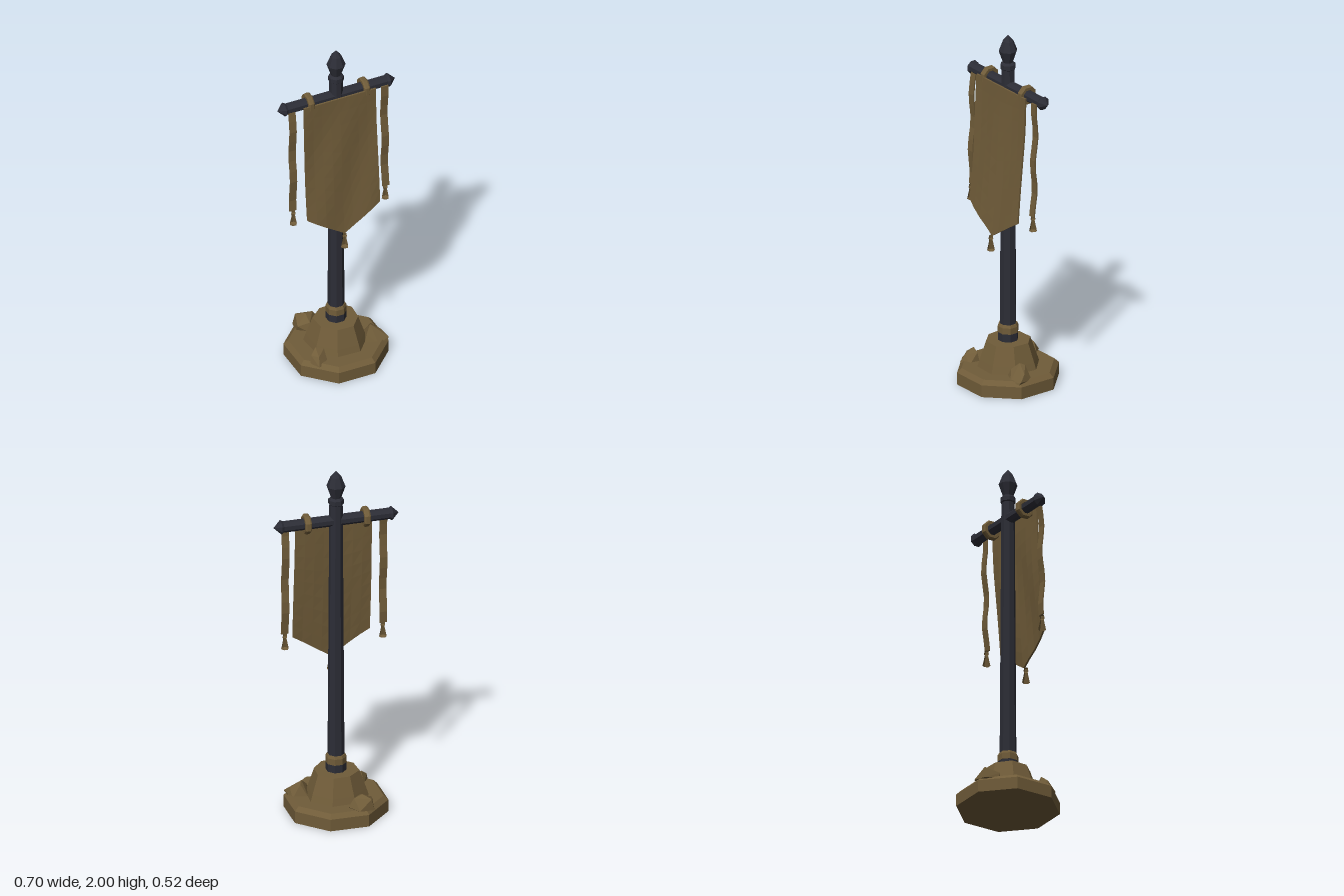
import * as THREE from 'three';
import { ConvexGeometry } from 'three/addons/geometries/ConvexGeometry.js';

const brown = new THREE.MeshStandardMaterial({ color: 0x705c39, flatShading: true });
brown.name = 'brown cloth and stone';
const iron = new THREE.MeshStandardMaterial({ color: 0x2c2d36, flatShading: true });
iron.name = 'dark iron';

export function createModel() {
  const model = new THREE.Group();

  const add = (name, geometry, material, x = 0, y = 0, z = 0) => {
    const mesh = new THREE.Mesh(geometry, material);
    mesh.name = name;
    mesh.position.set(x, y, z);
    model.add(mesh);
    return mesh;
  };

  // Faceted solid of revolution from [radius, y] pairs, with a flat side to the front
  const turned = (profile, sides = 8) =>
    new THREE.LatheGeometry(profile.map(([r, y]) => new THREE.Vector2(r, y)), sides, Math.PI / sides);

  // Stone foot
  add('basePlinth', turned([[0, 0], [0.281, 0], [0.281, 0.068], [0.256, 0.092], [0, 0.092]]), brown);
  const mound = turned([[0.172, 0.085], [0.158, 0.13], [0.122, 0.235], [0, 0.235]]);
  const mp = mound.attributes.position;
  for (let i = 0; i < mp.count; i++) {
    // slight unevenness that keeps the seam closed
    const k = 1 + 0.035 * Math.sin(3 * Math.atan2(mp.getX(i), mp.getZ(i)) + 1);
    mp.setX(i, mp.getX(i) * k);
    mp.setZ(i, mp.getZ(i) * k);
  }
  add('baseMound', mound, brown);

  // Rocks lying on the foot
  const rocks = {
    backRock: [
      [-0.158, 0.08, -0.165], [-0.145, 0.08, -0.235], [-0.06, 0.09, -0.253], [-0.01, 0.1, -0.2],
      [-0.02, 0.08, -0.175], [-0.095, 0.08, -0.12], [-0.155, 0.12, -0.15], [-0.13, 0.145, -0.232],
      [-0.09, 0.162, -0.19], [-0.04, 0.15, -0.205], [-0.09, 0.135, -0.135]],
    frontRightRock: [
      [-0.215, 0.08, 0.13], [-0.185, 0.08, 0.183], [-0.125, 0.08, 0.16], [-0.115, 0.08, 0.1],
      [-0.18, 0.08, 0.08], [-0.205, 0.125, 0.12], [-0.17, 0.155, 0.1], [-0.125, 0.14, 0.11],
      [-0.175, 0.125, 0.155]],
    frontLeftRock: [
      [0.12, 0.08, 0.1], [0.19, 0.08, 0.13], [0.25, 0.08, 0.118], [0.258, 0.095, 0.11],
      [0.235, 0.08, 0.02], [0.15, 0.08, 0], [0.175, 0.168, 0.055], [0.235, 0.125, 0.07],
      [0.14, 0.13, 0.085], [0.19, 0.155, 0.03]],
  };
  for (const [name, points] of Object.entries(rocks)) {
    add(name, new ConvexGeometry(points.map(p => new THREE.Vector3(...p))), brown);
  }

  // Pole with its collars and spear-like finial
  add('pole', turned([[0.046, 0.23], [0.036, 1.82]]), iron);
  add('poleSocket', turned([[0.056, 0.23], [0.056, 0.282], [0, 0.282]]), iron);
  add('poleCollar', turned([[0.04, 0.278], [0.057, 0.28], [0.057, 0.315], [0.05, 0.33], [0.03, 0.33]]), brown);
  add('finialCollar', turned([[0.03, 1.797], [0.042, 1.807], [0.042, 1.832], [0.03, 1.843], [0, 1.843]]), iron);
  add('finial', turned([[0.026, 1.838], [0.051, 1.91], [0.03, 1.965], [0, 2]]), iron);

  // Crossbar with pointed ends
  const barY = 1.707;
  const bar = turned([[0, -0.348], [0.039, -0.308], [0.031, -0.295],
    [0.031, 0.295], [0.039, 0.308], [0, 0.348]]);
  add('crossbar', bar, iron, 0, barY).rotation.z = Math.PI / 2;

  // Hanging rings around the crossbar
  for (const side of [-1, 1]) {
    const ring = turned([[0.034, -0.017], [0.05, -0.017], [0.056, -0.009], [0.056, 0.009],
      [0.05, 0.017], [0.034, 0.017], [0.034, -0.017]]);
    add(side > 0 ? 'leftRing' : 'rightRing', ring, brown, side * 0.164, barY).rotation.z = Math.PI / 2;
  }

  // Bends a thin box into hanging cloth: rule(x, t) gives [y, z], t running 0 (top) to 1
  const cloth = (width, depth, nx, ny, rule) => {
    const g = new THREE.BoxGeometry(width, 1, depth, nx, ny, 1);
    const p = g.attributes.position;
    for (let i = 0; i < p.count; i++) {
      const [y, z] = rule(p.getX(i), 0.5 - p.getY(i));
      p.setXYZ(i, p.getX(i), y, p.getZ(i) + z);
    }
    g.computeVertexNormals();
    return g;
  };

  // Banner swinging forward towards its pointed hem
  add('banner', cloth(0.426, 0.01, 8, 10, (x, t) => {
    const bottom = 1.0 - 0.14 * (1 - Math.abs(x) / 0.213);
    const y = 1.712 + (bottom - 1.712) * t;
    const drop = (1.712 - y) / 0.852;
    const z = 0.045 + 0.062 * Math.pow(drop, 1.45)
      + 0.005 * Math.sin(x * 22 + drop * 5) * Math.min(1, drop * 3);
    return [y, z];
  }), brown);

  // Tassel hanging from its top point
  const tassel = (name, x, y, z) =>
    add(name, turned([[0, 0.005], [0.01, 0], [0.013, -0.018], [0.009, -0.026], [0.021, -0.085], [0, -0.092]], 6),
      brown, x, y, z);
  tassel('bannerTassel', -0.003, 0.862, 0.112);

  // Side streamers with tassels
  for (const side of [-1, 1]) {
    const label = side > 0 ? 'left' : 'right';
    add(label + 'Streamer', cloth(0.04, 0.008, 1, 10, (x, t) =>
      [1.7 - 0.65 * t, 0.027 + 0.012 * t + 0.008 * Math.sin(t * 13 + side)]), brown, side * 0.272);
    tassel(label + 'StreamerTassel', side * 0.272, 1.05, 0.04);
  }

  return model;
}
